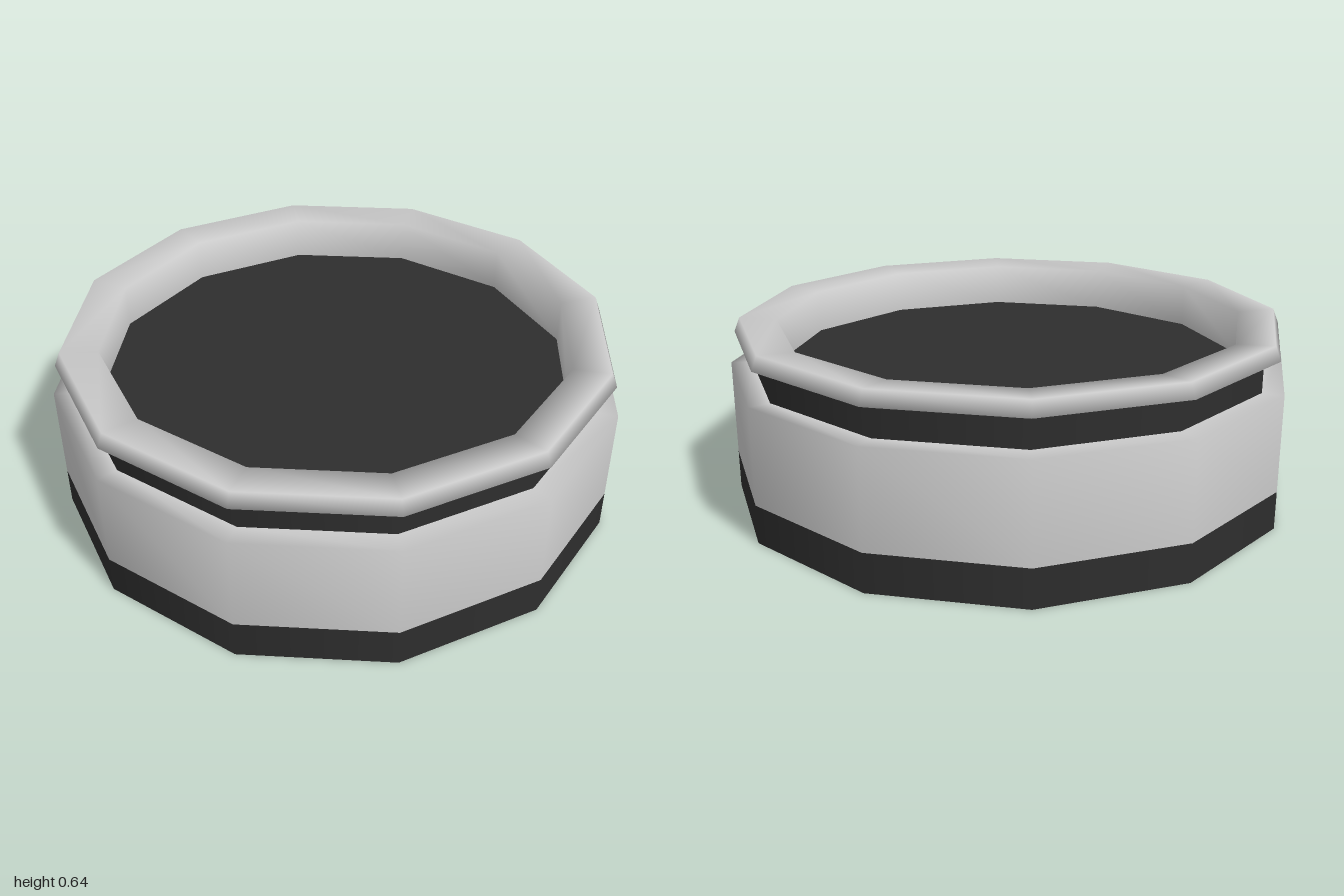
import * as THREE from 'three';

const SIDES = 12;

export function createModel() {
  const group = new THREE.Group();
  const grey = new THREE.MeshStandardMaterial({ color: 0xcccccc });
  const dark = new THREE.MeshStandardMaterial({ color: 0x2e2e2e });

  const add = (name, geometry, material) => {
    const mesh = new THREE.Mesh(geometry, material);
    mesh.name = name;
    group.add(mesh);
    return mesh;
  };

  // Twelve-sided ring from a [radius, height] profile, outside running upwards
  const ring = (name, profile, material) =>
    add(name, new THREE.LatheGeometry(profile.map(([r, y]) => new THREE.Vector2(r, y)), SIDES), material);

  // Twelve-sided flat disc facing up (1) or down (-1)
  const disc = (name, radius, y, facing, material) => {
    const mesh = add(name, new THREE.CircleGeometry(radius, SIDES), material);
    mesh.rotation.x = -facing * Math.PI / 2;
    mesh.position.y = y;
  };

  // Base: underside and dark band
  disc('underside', 1, 0, -1, grey);
  ring('baseBand', [[1, 0], [1, 0.135]], dark);

  // Body wall with its narrow ledge
  ring('body', [[1, 0.135], [1, 0.475], [0.925, 0.475]], grey);

  // Recessed dark neck under the rim
  ring('neck', [[0.925, 0.475], [0.925, 0.57]], dark);

  // Overhanging rim, over the lip and down the inner wall
  ring('rim', [[0.925, 0.57], [0.98, 0.59], [0.96, 0.64], [0.83, 0.63], [0.83, 0.475]], grey);

  // Sunken dark top panel
  disc('topPanel', 0.83, 0.475, 1, dark);

  return group;
}
